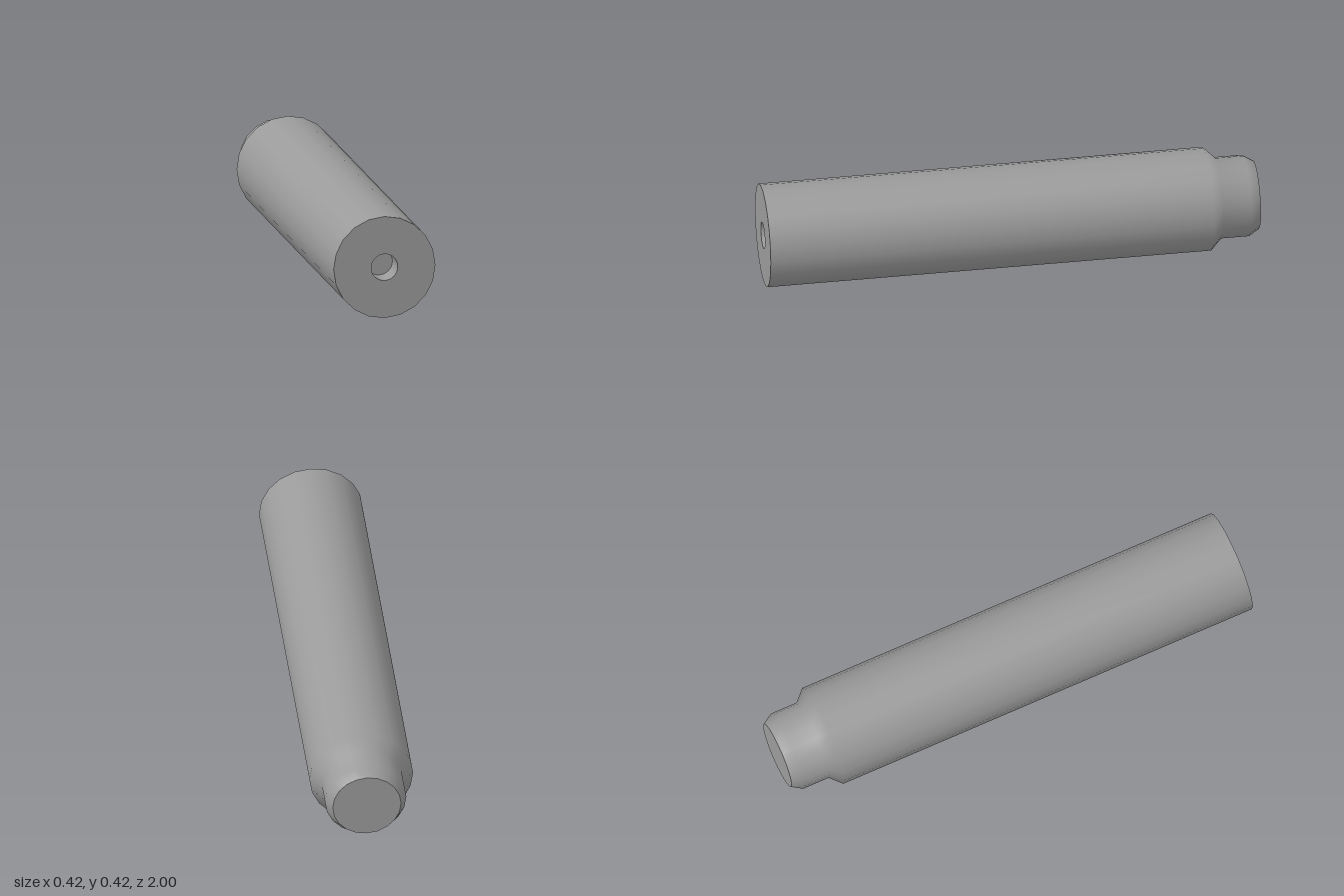
import * as THREE from 'three';

const SIDES = 20, HOLE_SIDES = 32;
const R = 0.209, TIP_R = 0.138, HOLE_R = 0.0545, HOLE_DEPTH = 0.1;

export function createModel() {
  const group = new THREE.Group();
  group.name = 'steppedRod';
  const material = new THREE.MeshStandardMaterial({ color: 0x9b9b9b });

  const add = (name, geometry) => {
    const mesh = new THREE.Mesh(geometry, material);
    mesh.name = name;
    mesh.position.y = R;
    group.add(mesh);
  };
  // Turned surface around the z axis from [radius, z] pairs
  const turned = (profile, sides) =>
    new THREE.LatheGeometry(profile.map(([r, z]) => new THREE.Vector2(r, z)), sides).rotateX(Math.PI / 2);
  // Regular polygon with a corner straight up
  const ring = (r, n) => Array.from({ length: n }, (_, i) => {
    const a = Math.PI / 2 + (i / n) * Math.PI * 2;
    return new THREE.Vector2(r * Math.cos(a), r * Math.sin(a));
  });

  // Shaft with shoulder, neck and bevelled tip, shaded smoothly
  add('shaft', turned([[TIP_R, -1], [0.164, -0.957], [0.164, -0.845], [R, -0.8], [R, 1]], SIDES));

  // Flat end of the tip, facing backwards
  add('tipEnd', new THREE.ShapeGeometry(new THREE.Shape(ring(TIP_R, SIDES))).rotateY(Math.PI).translate(0, 0, -1));

  // Front face around the hole
  const face = new THREE.Shape(ring(R, SIDES));
  face.holes.push(new THREE.Path(ring(HOLE_R, HOLE_SIDES).reverse()));
  add('frontFace', new THREE.ShapeGeometry(face).translate(0, 0, 1));

  // Blind hole: inward-facing wall and flat floor
  add('holeWall', turned([[HOLE_R, 1], [HOLE_R, 1 - HOLE_DEPTH]], HOLE_SIDES));
  add('holeFloor', new THREE.ShapeGeometry(new THREE.Shape(ring(HOLE_R, HOLE_SIDES))).translate(0, 0, 1 - HOLE_DEPTH));

  return group;
}
